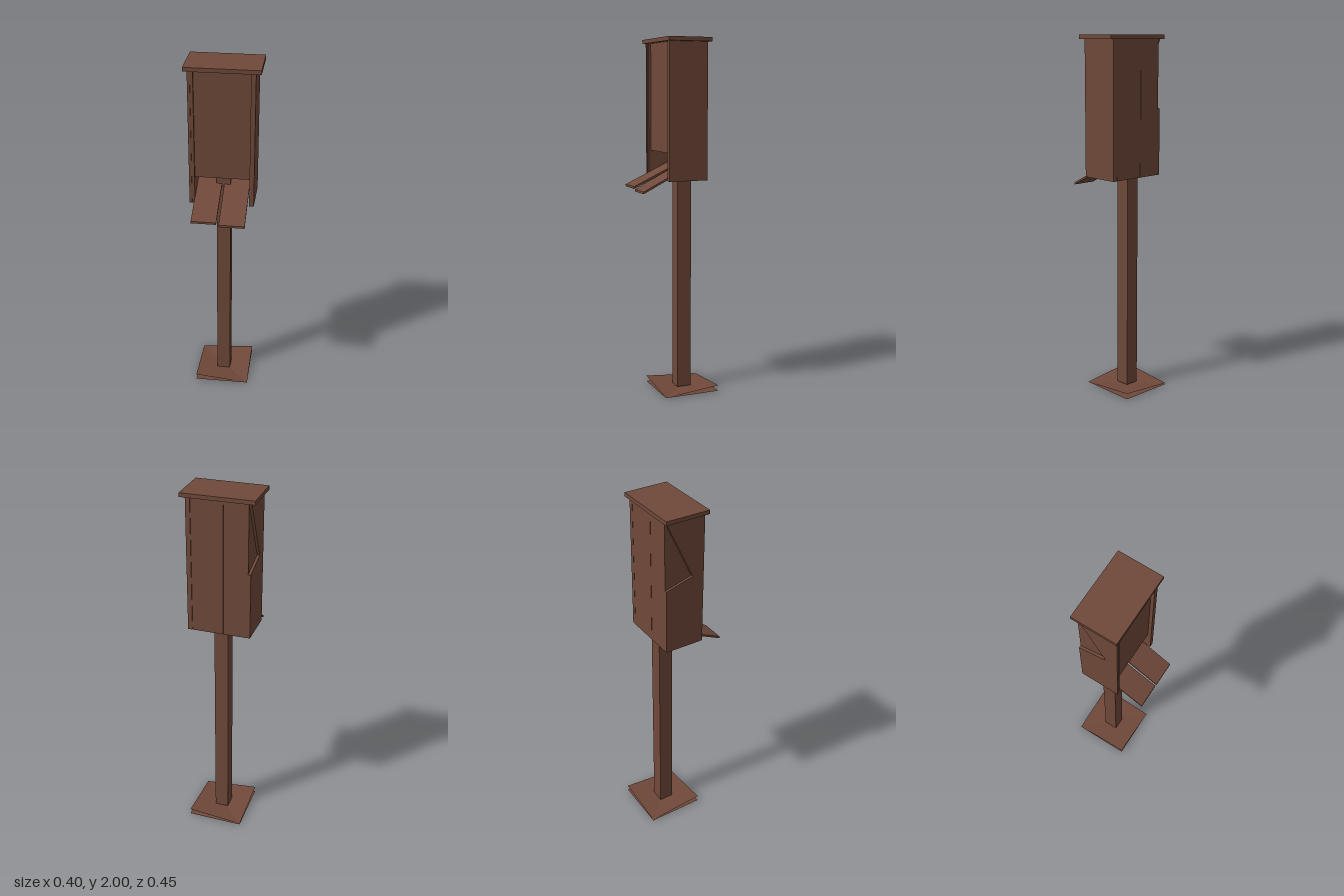
import * as THREE from 'three';

const brown = new THREE.MeshStandardMaterial({ color: 0x70493a, side: THREE.DoubleSide });
brown.name = 'brown';

// Box given by its limits on each axis
function box(name, x0, x1, y0, y1, z0, z1) {
  const mesh = new THREE.Mesh(new THREE.BoxGeometry(x1 - x0, y1 - y0, z1 - z0), brown);
  mesh.position.set((x0 + x1) / 2, (y0 + y1) / 2, (z0 + z1) / 2);
  mesh.name = name;
  return mesh;
}

// Flat-shaded triangles from corner points
function facets(name, points) {
  const geo = new THREE.BufferGeometry().setFromPoints(points.map(p => new THREE.Vector3(...p)));
  geo.computeVertexNormals();
  const mesh = new THREE.Mesh(geo, brown);
  mesh.name = name;
  return mesh;
}

export function createModel() {
  const model = new THREE.Group();
  model.name = 'dispenserOnPost';

  // Post and folded foot plate
  model.add(box('post', -0.045, 0.033, 0.015, 1.4, -0.102, -0.02));
  const a = [0.153, 0.005, 0.1];
  const b = [-0.16, 0.036, 0.1], bLow = [-0.16, 0.003, 0.1];
  const c = [0.153, 0.035, -0.225], cLow = [0.153, 0.003, -0.225];
  const d = [-0.16, 0.006, -0.225], dLow = [-0.16, 0, -0.225];
  model.add(facets('footPlateTop', [a, d, b, a, c, d]));
  model.add(facets('footPlateBottom', [a, bLow, dLow, a, dLow, cLow]));

  // Cabinet shell, open underneath
  model.add(box('roof', -0.2, 0.2, 1.978, 2, -0.15, 0.1));
  model.add(box('backPanelRight', -0.165, -0.031, 1.23, 1.98, -0.138, -0.125));
  model.add(box('backPanelLeft', -0.029, 0.145, 1.23, 1.98, -0.138, -0.125));
  model.add(box('leftWall', 0.147, 0.172, 1.23, 1.98, -0.138, 0.087));
  model.add(box('rightWallLiner', -0.165, -0.15, 1.23, 1.98, -0.125, 0.082));

  // Outer skin of the right wall with a triangular notch at its rear edge
  const outline = [[0.087, 1.23], [0.087, 1.98], [-0.138, 1.98],
    [0.02, 1.645], [-0.138, 1.6], [-0.138, 1.23]];
  const skin = new THREE.Shape(outline.map(([z, y]) => new THREE.Vector2(-z, y)));
  const skinGeo = new THREE.ExtrudeGeometry(skin, { depth: 0.014, bevelEnabled: false });
  skinGeo.rotateY(Math.PI / 2);
  const rightWall = new THREE.Mesh(skinGeo, brown);
  rightWall.position.x = -0.179;
  rightWall.name = 'rightWall';
  model.add(rightWall);

  // Front panel set just inside the walls, leaving an outlet below it
  model.add(box('frontPanel', -0.15, 0.147, 1.38, 1.98, 0.055, 0.068));

  // Two sloping chute flaps, the left one a little steeper
  for (const [name, x0, x1, slope] of [['rightFlap', -0.152, -0.015, 0.465], ['leftFlap', -0.002, 0.138, 0.505]]) {
    const geo = new THREE.BoxGeometry(x1 - x0, 0.012, 0.323);
    const pos = geo.attributes.position;
    for (let i = 0; i < pos.count; i++) pos.setY(i, pos.getY(i) - (pos.getZ(i) + 0.1615) * slope);
    geo.computeVertexNormals();
    const flap = new THREE.Mesh(geo, brown);
    flap.position.set((x0 + x1) / 2, 1.335, 0.0615);
    flap.name = name;
    model.add(flap);
  }
  return model;
}
